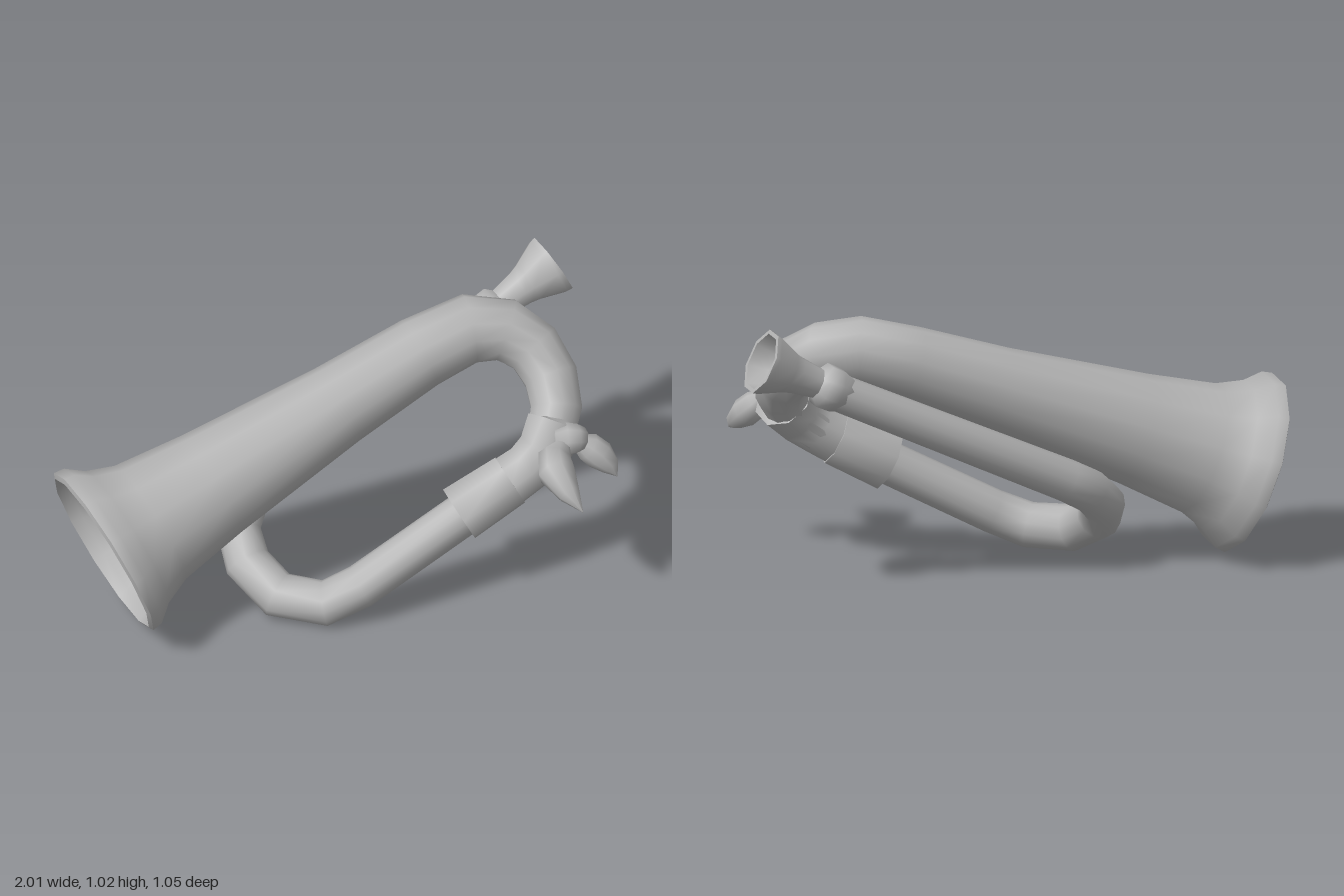
import * as THREE from 'three';
import { toCreasedNormals } from 'three/addons/utils/BufferGeometryUtils.js';

// Skin a polygonal tube over rows of [x, y, z, radius].
// With a fixed axis, rows may fold back on themselves (hollow cups).
function loft(rows, sides, axis) {
  const pts = rows.map(r => new THREE.Vector3(r[0], r[1], r[2]));
  const pos = [], index = [];
  const n = new THREE.Vector3(), t = new THREE.Vector3(), b = new THREE.Vector3();
  rows.forEach((row, i) => {
    if (axis) t.copy(axis);
    else {
      t.set(0, 0, 0);
      if (i > 0) t.add(pts[i].clone().sub(pts[i - 1]).normalize());
      if (i < pts.length - 1) t.add(pts[i + 1].clone().sub(pts[i]).normalize());
      t.normalize();
    }
    if (i === 0) n.set(0, 1, 0).cross(t);
    n.addScaledVector(t, -n.dot(t)).normalize();
    b.crossVectors(t, n);
    for (let j = 0; j < sides; j++) {
      const a = (j + 0.5) / sides * Math.PI * 2;
      const p = pts[i].clone()
        .addScaledVector(n, Math.cos(a) * row[3])
        .addScaledVector(b, Math.sin(a) * row[3]);
      pos.push(p.x, p.y, p.z);
      if (i < rows.length - 1) {
        const k = (j + 1) % sides, o = i * sides;
        index.push(o + j, o + k, o + sides + j, o + k, o + sides + k, o + sides + j);
      }
    }
  });
  const g = new THREE.BufferGeometry();
  g.setAttribute('position', new THREE.Float32BufferAttribute(pos, 3));
  g.setIndex(index);
  return toCreasedNormals(g, 1.1);
}

// Rows along a straight line from (distance, radius) pairs
const along = (start, dir, pairs) => pairs.map(([s, r]) =>
  [start.x + dir.x * s, start.y + dir.y * s, start.z + dir.z * s, r]);

export function createModel() {
  const group = new THREE.Group();
  const metal = new THREE.MeshStandardMaterial({ color: 0xb4b4b4 });
  metal.name = 'grey metal';
  const add = (name, geometry) => {
    const mesh = new THREE.Mesh(geometry, metal);
    mesh.name = name;
    group.add(mesh);
  };

  // Bell flare and the upper bend
  const rim = new THREE.Vector3(-0.862, 0.342, 0.16);
  const bellDir = new THREE.Vector3(1.265, 0.49, -0.29).normalize();
  add('bellAndUpperBend', loft([
    ...along(rim, bellDir, [[0, 0.334], [0.04, 0.328], [0.1, 0.28], [0.2, 0.24],
      [0.46, 0.204], [1.0, 0.152], [1.35, 0.133]]),
    [0.56, 0.875, -0.15, 0.126],
    [0.69, 0.86, -0.13, 0.116],
    [0.78, 0.805, -0.072, 0.106],
    [0.823, 0.73, 0.01, 0.1],
    [0.823, 0.655, 0.095, 0.095],
    [0.78, 0.565, 0.17, 0.09],
    [0.68, 0.48, 0.205, 0.085],
  ], 12));

  // Hollow inside of the bell, with a rolled lip
  add('bellInterior', loft(along(rim, bellDir, [[0.8, 0.001], [0.79, 0.13], [0.46, 0.19],
    [0.2, 0.222], [0.1, 0.255], [0.035, 0.298], [-0.008, 0.315], [0, 0.334]]), 12, bellDir));

  // Lower tube, return bend and the long leadpipe
  add('lowerTubeAndLeadpipe', loft([
    [0.64, 0.455, 0.215, 0.078],
    [0.05, 0.137, 0.305, 0.08],
    [-0.08, 0.083, 0.303, 0.083],
    [-0.235, 0.092, 0.225, 0.085],
    [-0.32, 0.167, 0.11, 0.084],
    [-0.328, 0.245, 0.0, 0.081],
    [-0.28, 0.31, -0.065, 0.079],
    [-0.19, 0.365, -0.107, 0.077],
    [0.68, 0.79, -0.338, 0.068],
  ], 12));

  // Sleeve on the lower tube
  const sleeveStart = new THREE.Vector3(0.43, 0.35, 0.24);
  const sleeveDir = new THREE.Vector3(0.23, 0.118, -0.03).normalize();
  add('sleeve', loft(along(sleeveStart, sleeveDir, [[0, 0.07], [0, 0.11],
    [0.22, 0.102], [0.22, 0.08]]), 8, sleeveDir));

  // Flared cuff joining the sleeve to the upper bend
  add('cuff', loft([
    [0.61, 0.443, 0.217, 0.098],
    [0.69, 0.488, 0.206, 0.094],
    [0.75, 0.535, 0.19, 0.1],
    [0.812, 0.615, 0.145, 0.114],
    [0.815, 0.62, 0.14, 0.085],
  ], 8));

  // Leadpipe collar and mouthpiece cup
  const pipeEnd = new THREE.Vector3(0.64, 0.775, -0.327);
  const pipeDir = new THREE.Vector3(0.9, 0.445, -0.25).normalize();
  add('leadpipeCollar', loft(along(pipeEnd, pipeDir, [[-0.03, 0.064], [0.02, 0.083],
    [0.075, 0.084], [0.1, 0.055]]), 8, pipeDir));
  add('mouthpiece', loft(along(pipeEnd, pipeDir, [[0.05, 0.056], [0.1, 0.058], [0.185, 0.07],
    [0.22, 0.08], [0.31, 0.118], [0.33, 0.122], [0.33, 0.106], [0.27, 0.085], [0.21, 0.05],
    [0.2, 0.001]]), 8, pipeDir));

  // Tied cord: a knot and two pointed tassels
  add('knot', loft([
    [0.775, 0.615, 0.235, 0.001], [0.79, 0.618, 0.238, 0.045], [0.825, 0.62, 0.245, 0.062],
    [0.86, 0.616, 0.245, 0.055], [0.885, 0.608, 0.24, 0.042], [0.9, 0.6, 0.238, 0.001],
  ], 8));
  add('frontTassel', loft([
    [0.815, 0.615, 0.26, 0.025],
    [0.765, 0.597, 0.315, 0.062],
    [0.757, 0.583, 0.385, 0.07],
    [0.785, 0.54, 0.465, 0.042],
    [0.82, 0.495, 0.525, 0.001],
  ], 8));
  add('sideTassel', loft([
    [0.86, 0.605, 0.24, 0.025],
    [0.905, 0.57, 0.24, 0.053],
    [0.945, 0.535, 0.255, 0.055],
    [0.98, 0.497, 0.282, 0.034],
    [0.998, 0.468, 0.305, 0.001],
  ], 8));

  return group;
}
